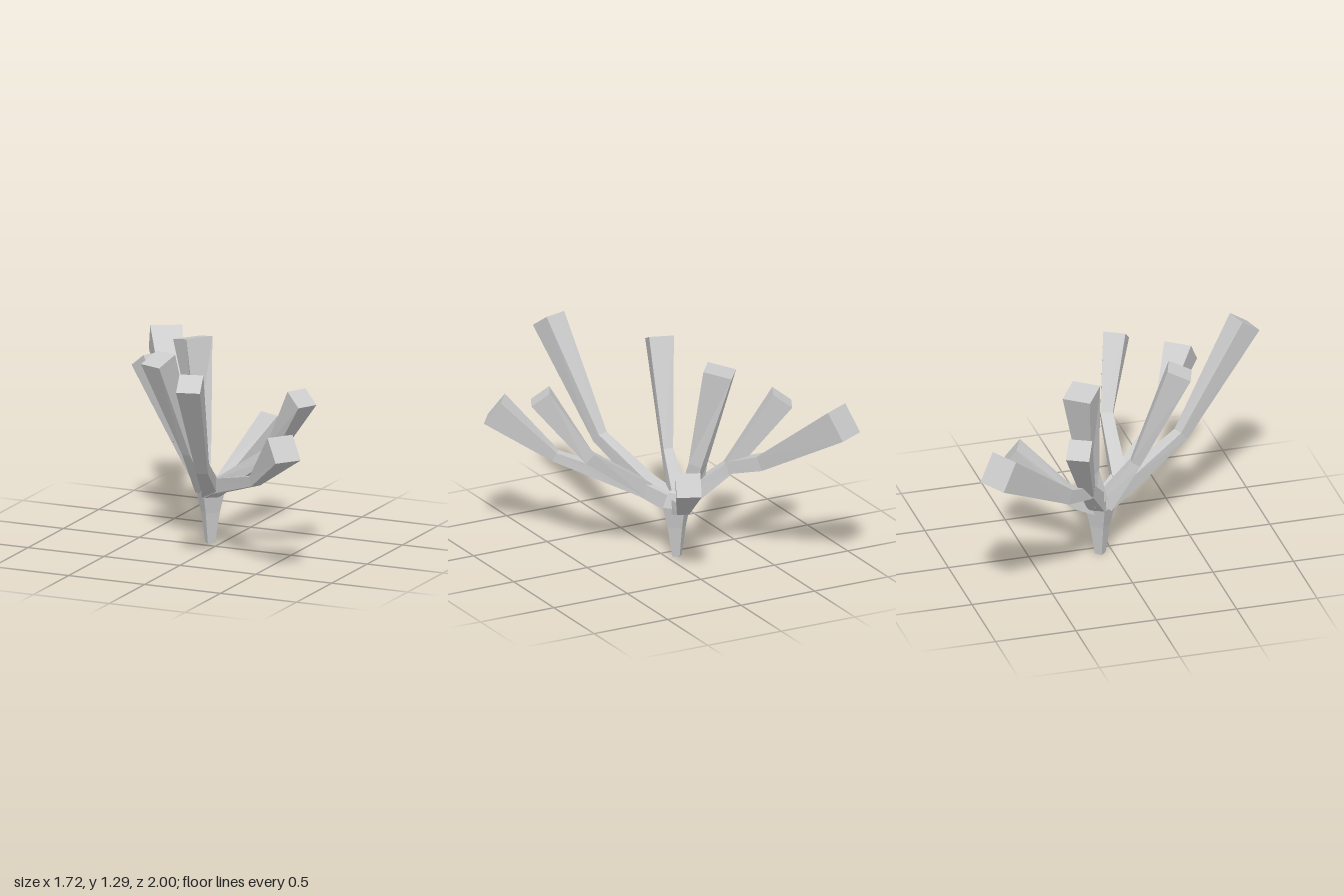
import * as THREE from 'three';

const material = new THREE.MeshStandardMaterial({ color: 0xcccccc, flatShading: true });

// Square-section limb through stations [x, y, z, width], one side of each section kept level
function limb(name, stations) {
  const centres = stations.map(([x, y, z]) => new THREE.Vector3(x, y, z));
  const up = new THREE.Vector3(0, 1, 0);
  const positions = [];
  const index = [];
  const last = stations.length - 1;

  centres.forEach((c, i) => {
    const dir = new THREE.Vector3();
    if (i > 0) dir.add(c.clone().sub(centres[i - 1]).normalize());
    if (i < last) dir.add(centres[i + 1].clone().sub(c).normalize());
    dir.normalize();
    const side = new THREE.Vector3().crossVectors(up, dir).normalize();
    const top = new THREE.Vector3().crossVectors(dir, side);
    const h = stations[i][3] / 2;
    for (const [s, t] of [[-h, -h], [h, -h], [h, h], [-h, h]]) {
      const p = c.clone().addScaledVector(side, s).addScaledVector(top, t);
      positions.push(p.x, p.y, p.z);
    }
    if (i === last) return;
    for (let k = 0; k < 4; k++) {
      const a = i * 4 + k, b = i * 4 + (k + 1) % 4;
      index.push(a, b, b + 4, a, b + 4, a + 4);
    }
  });
  const e = last * 4;
  index.push(0, 2, 1, 0, 3, 2, e, e + 1, e + 2, e, e + 2, e + 3);

  const indexed = new THREE.BufferGeometry();
  indexed.setAttribute('position', new THREE.Float32BufferAttribute(positions, 3));
  indexed.setIndex(index);
  const geometry = indexed.toNonIndexed();
  geometry.computeVertexNormals();
  const mesh = new THREE.Mesh(geometry, material);
  mesh.name = name;
  return mesh;
}

export function createModel() {
  const group = new THREE.Group();
  group.name = 'branchingCoral';

  // Four-sided stem widening into the hub
  const profile = [[0, 0], [0.033, 0], [0.063, 0.19], [0.095, 0.32], [0.06, 0.41], [0, 0.43]];
  const stem = new THREE.Mesh(
    new THREE.LatheGeometry(profile.map(([r, y]) => new THREE.Vector2(r, y)), 4), material);
  stem.name = 'stem';
  stem.position.set(-0.069, 0, -0.076);
  group.add(stem);

  // Forks where several branches part
  const rightFork = [0.06, 0.4, 0.08, 0.09];
  const leftFork = [-0.14, 0.39, -0.12, 0.1];
  const outerFork = [-0.34, 0.57, -0.23, 0.075];

  const limbs = {
    leftArm: [[-0.06, 0.33, -0.05, 0.1], rightFork],
    rightArm: [[-0.07, 0.32, -0.07, 0.1], leftFork, outerFork],
    // Branches on the +x and front side
    leftBranch: [rightFork, [0.43, 0.655, 0.11, 0.075], [0.685, 1.045, 0.245, 0.135]],
    leftFrontBranch: [rightFork, [0.47, 0.56, 0.45, 0.06], [0.765, 0.84, 0.67, 0.17]],
    frontBranch: [[-0.05, 0.34, -0.03, 0.1], [0.02, 0.41, 0.13, 0.09],
      [0.145, 0.61, 0.49, 0.07], [0.26, 1.245, 0.92, 0.145]],
    rightFrontBranch: [[-0.09, 0.34, -0.06, 0.1], [-0.115, 0.6, 0.13, 0.06],
      [-0.2, 1.22, 0.38, 0.15]],
    // Branches on the -x and back side
    rightUprightBranch: [leftFork, [-0.16, 0.6, -0.17, 0.085], [-0.265, 1.2, -0.25, 0.175]],
    rightBranch: [outerFork, [-0.625, 1.005, -0.37, 0.14]],
    rightBackBranch: [outerFork, [-0.47, 0.635, -0.41, 0.09], [-0.75, 1, -0.91, 0.195]],
    backBranch: [[-0.07, 0.32, -0.08, 0.1], [-0.04, 0.345, -0.2, 0.075],
      [0.125, 0.645, -0.575, 0.15]],
  };
  for (const [name, stations] of Object.entries(limbs)) group.add(limb(name, stations));

  return group;
}
